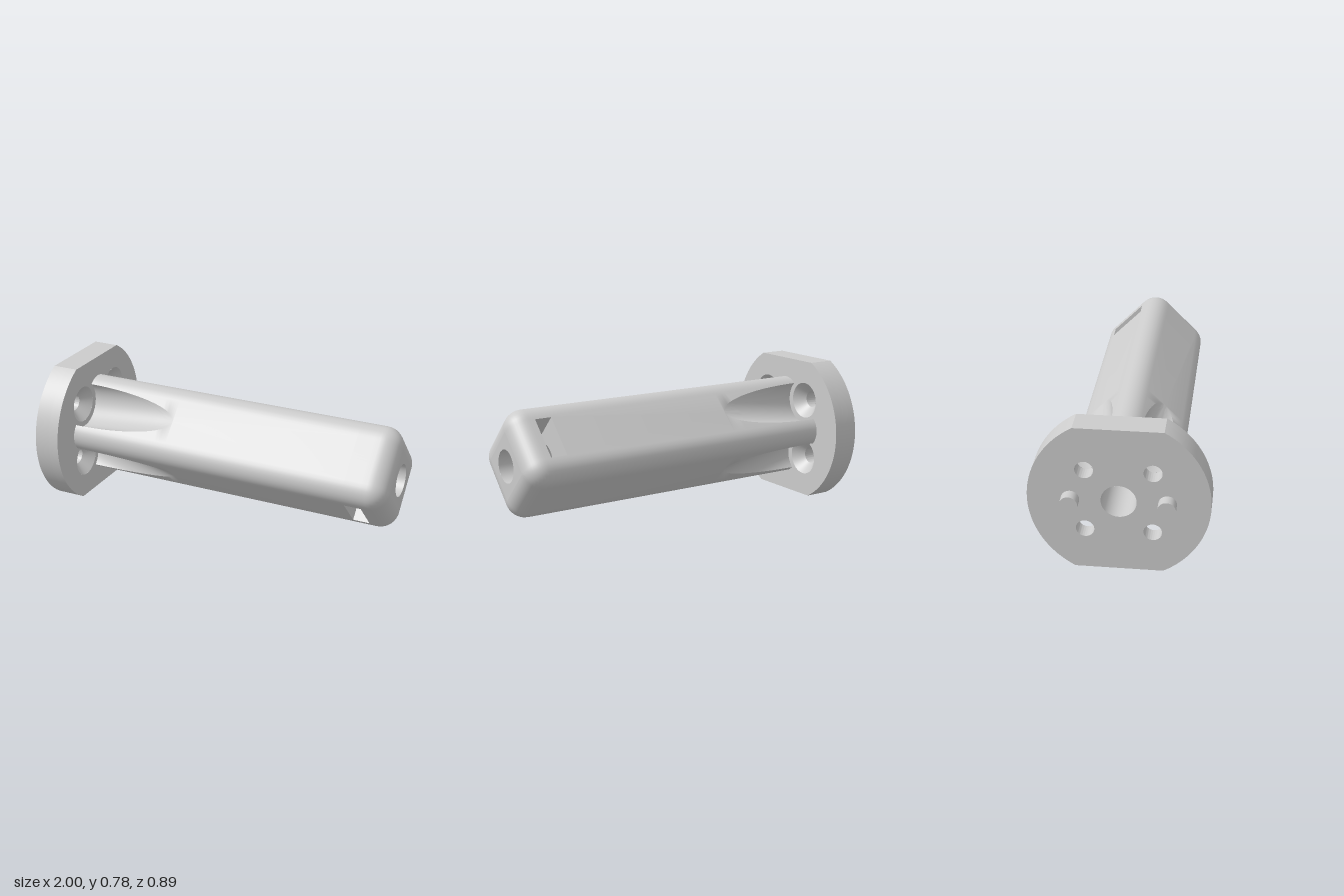
import * as THREE from 'three';
import { toCreasedNormals } from 'three/addons/utils/BufferGeometryUtils.js';

const A = 0.227, R = 0.1, H = A - R;      // shaft half width, corner radius, half flat
const BORE = 0.087;
const BACK = -0.94, SEAT = -0.8, TIP = 1; // flange back, flange front, shaft end
const SCOOP = 0.56;                       // scoop length
const SLOT = { z0: 0.78, z1: 0.87, w: 0.115 };
const SCREW = 0.165, SCREW_R = 0.045, SINK_R = 0.1, SINK_D = 0.055;
const FLANGE_R = 0.445, FLAT = 0.3885;

const solid = new THREE.MeshStandardMaterial({ color: 0xcccccc });
const thin = new THREE.MeshStandardMaterial({ color: 0xcccccc, side: THREE.DoubleSide });

function add(parent, name, geometry, material = solid) {
  const mesh = new THREE.Mesh(geometry, material);
  mesh.name = name;
  parent.add(mesh);
  return mesh;
}

function circlePath(x, y, r) {
  return new THREE.Path().absarc(x, y, r, 0, Math.PI * 2, true);
}

// Open tube along z
function tube(r0, z0, r1, z1) {
  return new THREE.CylinderGeometry(r1, r0, z1 - z0, 48, 1, true)
    .rotateX(Math.PI / 2).translate(0, 0, (z0 + z1) / 2);
}

function rectShape(hx, hy) {
  return new THREE.Shape([[-hx, -hy], [hx, -hy], [hx, hy], [-hx, hy]]
    .map(([x, y]) => new THREE.Vector2(x, y)));
}

const diagonals = [[1, 1], [-1, 1], [-1, -1], [1, -1]];

// Disc slab with two flats, a central bore and four screw holes
function flangeSlab(holeR, depth) {
  const al = Math.asin(FLAT / FLANGE_R);
  const shape = new THREE.Shape();
  shape.absarc(0, 0, FLANGE_R, -al, al, false);
  shape.absarc(0, 0, FLANGE_R, Math.PI - al, Math.PI + al, false);
  shape.closePath();
  shape.holes.push(circlePath(0, 0, BORE));
  for (const [sx, sy] of diagonals) shape.holes.push(circlePath(sx * SCREW, sy * SCREW, holeR));
  const g = new THREE.ExtrudeGeometry(shape, { depth, bevelEnabled: false, curveSegments: 40 });
  return toCreasedNormals(g, 0.5);
}

const FACE_PTS = 24, ARC_PTS = 8;

// Rounded-square section; s is the progress along the scoop (1 = no scoop)
function section(z, w, s = 1, inset = 0) {
  const pts = [];
  for (let k = 0; k < 4; k++) {
    const side = [[A - inset, -H]];
    for (let i = 0; i <= FACE_PTS; i++) {
      const u = -w * Math.cos(Math.PI * i / FACE_PTS);
      const cut = Math.max(0, Math.sqrt(Math.max(0, H * H - u * u)) - H * s);
      side.push([A - inset - cut, u]);
    }
    for (let i = 0; i < ARC_PTS; i++) {
      const t = i / ARC_PTS * Math.PI / 2;
      side.push([H + (R - inset) * Math.cos(t), H + (R - inset) * Math.sin(t)]);
    }
    const c = [1, 0, -1, 0][k], n = [0, 1, 0, -1][k];
    for (const [x, y] of side) pts.push([x * c - y * n, x * n + y * c, z]);
  }
  return pts;
}

function shaftSkin() {
  const rings = [];
  for (let i = 0; i <= 20; i++) {
    const s = Math.sin(i / 20 * Math.PI / 2);
    rings.push(section(SEAT + SCOOP * s, Math.max(0.001, H * Math.sqrt(1 - s * s)), s));
  }
  const slotRing = rings.length;
  rings.push(section(SLOT.z0, SLOT.w), section(SLOT.z1, SLOT.w));
  for (let i = 0; i <= 10; i++) {
    const t = i / 10 * Math.PI / 2;
    rings.push(section(TIP - R + R * Math.sin(t), SLOT.w, 1, R * (1 - Math.cos(t))));
  }
  const n = rings[0].length, perSide = n / 4, index = [];
  for (let j = 0; j < rings.length - 1; j++) {
    for (let i = 0; i < n; i++) {
      // leave the slot open on two opposite faces
      const k = Math.floor(i / perSide), m = i % perSide;
      if (j === slotRing && k % 2 === 0 && m >= 1 && m <= FACE_PTS) continue;
      const a = j * n + i, b = j * n + (i + 1) % n;
      index.push(a, b, b + n, a, b + n, a + n);
    }
  }
  const g = new THREE.BufferGeometry();
  g.setAttribute('position', new THREE.Float32BufferAttribute(rings.flat(2), 3));
  g.setIndex(index);
  return toCreasedNormals(g, 0.45);
}

export function createModel() {
  const root = new THREE.Group();
  root.name = 'flangedSpindle';
  const body = new THREE.Group();  // built along z, then laid along x
  body.name = 'body';
  body.rotation.y = Math.PI / 2;
  body.position.y = FLAT;
  root.add(body);

  // Flange with countersunk screw holes
  const flange = new THREE.Group();
  flange.name = 'flange';
  body.add(flange);
  const mid = SEAT - SINK_D;
  add(flange, 'flangeBack', flangeSlab(SCREW_R, mid - BACK)).position.z = BACK;
  add(flange, 'flangeFront', flangeSlab(SINK_R, SINK_D)).position.z = mid;
  for (const [sx, sy] of diagonals) {
    add(flange, 'countersink', tube(SCREW_R, mid, SINK_R, SEAT), thin)
      .position.set(sx * SCREW, sy * SCREW, 0);
  }

  // Locating pegs on the back of the flange
  for (const side of [-1, 1]) {
    const peg = new THREE.CylinderGeometry(0.045, 0.045, 0.07, 32).rotateX(Math.PI / 2);
    add(flange, 'peg', peg).position.set(side * 0.235, 0, -0.965);
  }

  // Square shaft standing on its corner
  const shaft = new THREE.Group();
  shaft.name = 'shaft';
  shaft.rotation.z = Math.PI / 4;
  body.add(shaft);
  add(shaft, 'shaftSkin', shaftSkin());
  const cap = rectShape(H, H);
  cap.holes.push(circlePath(0, 0, BORE));
  add(shaft, 'shaftEnd', new THREE.ShapeGeometry(cap, 32)).position.z = TIP;

  // Bore, interrupted by the cross slot
  add(shaft, 'bore', tube(BORE, BACK, BORE, SLOT.z0), thin);
  add(shaft, 'boreEnd', tube(BORE, SLOT.z1, BORE, TIP), thin);

  // Walls of the cross slot
  const wall = rectShape(A, SLOT.w);
  wall.holes.push(circlePath(0, 0, BORE));
  for (const z of [SLOT.z0, SLOT.z1]) {
    add(shaft, 'slotWall', new THREE.ShapeGeometry(wall, 32), thin).position.z = z;
  }
  for (const side of [-1, 1]) {
    const g = new THREE.PlaneGeometry(2 * A, SLOT.z1 - SLOT.z0).rotateX(Math.PI / 2);
    add(shaft, 'slotSide', g, thin).position.set(0, side * SLOT.w, (SLOT.z0 + SLOT.z1) / 2);
  }
  return root;
}
